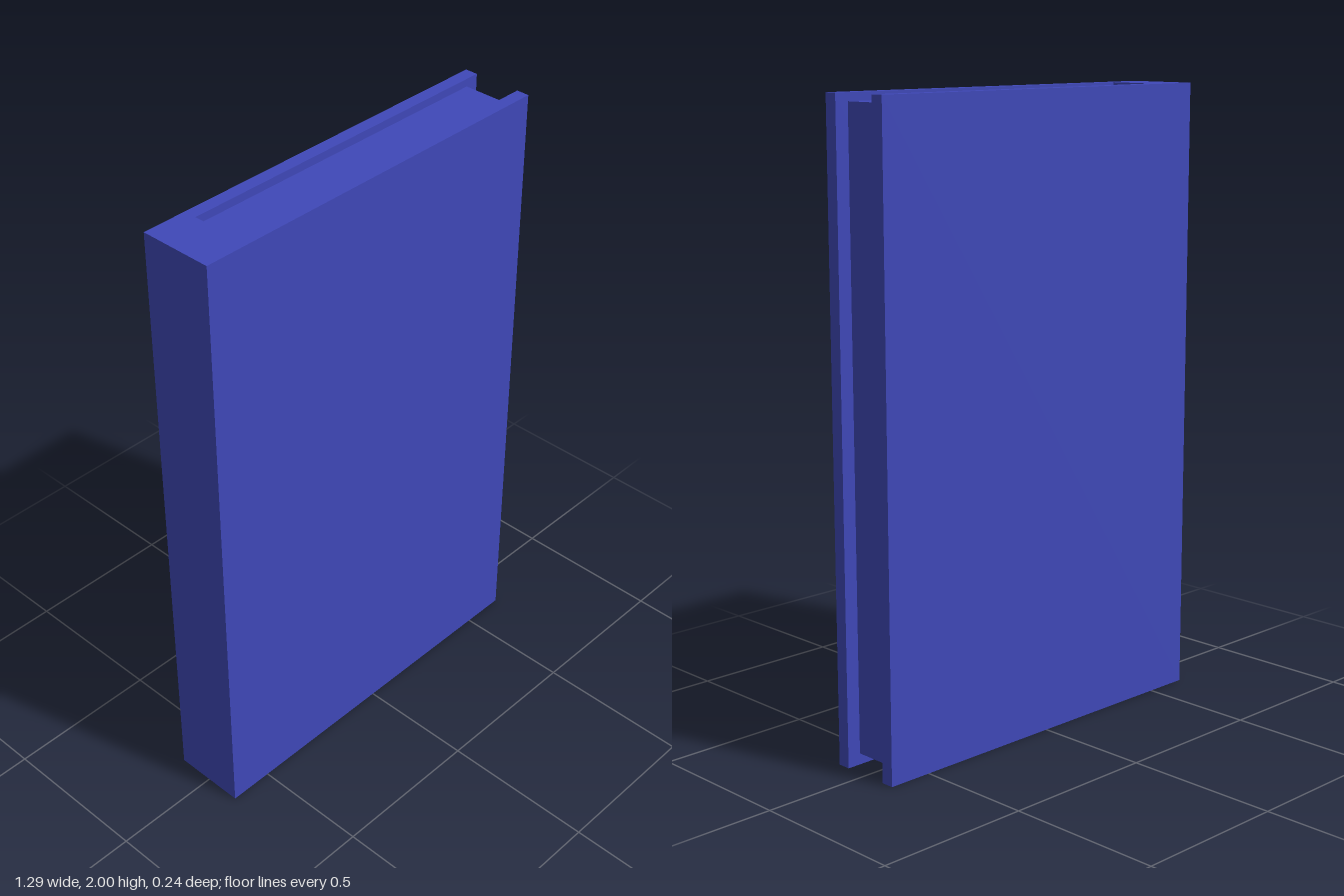
import * as THREE from 'three';

const HEIGHT = 2;
const HALF_W = 0.645, HALF_D = 0.12; // outer half width and half depth
const INNER_D = 0.078;               // half thickness of the page block
const SPINE_X = -0.5, PAGE_X = 0.6;  // page block from spine to fore-edge
const PAGE_BOTTOM = 0.035, PAGE_TOP = 1.975;

export function createModel() {
  const book = new THREE.Group();
  book.name = 'book';
  const material = new THREE.MeshStandardMaterial({ color: 0x3f48b8 });

  // Cover: two boards joined by a thick spine, one U-shaped section extruded upwards
  const section = new THREE.Shape([
    [-HALF_W, -HALF_D], [HALF_W, -HALF_D], [HALF_W, -INNER_D], [SPINE_X, -INNER_D],
    [SPINE_X, INNER_D], [HALF_W, INNER_D], [HALF_W, HALF_D], [-HALF_W, HALF_D],
  ].map(([x, y]) => new THREE.Vector2(x, y)));
  const coverGeometry = new THREE.ExtrudeGeometry(section, { depth: HEIGHT, bevelEnabled: false });
  coverGeometry.rotateX(-Math.PI / 2);
  const cover = new THREE.Mesh(coverGeometry, material);
  cover.name = 'cover';

  // Page block, set back from the cover edges
  const pages = new THREE.Mesh(
    new THREE.BoxGeometry(PAGE_X - SPINE_X, PAGE_TOP - PAGE_BOTTOM, 2 * INNER_D), material);
  pages.position.set((PAGE_X + SPINE_X) / 2, (PAGE_TOP + PAGE_BOTTOM) / 2, 0);
  pages.name = 'pages';

  book.add(cover, pages);
  return book;
}
